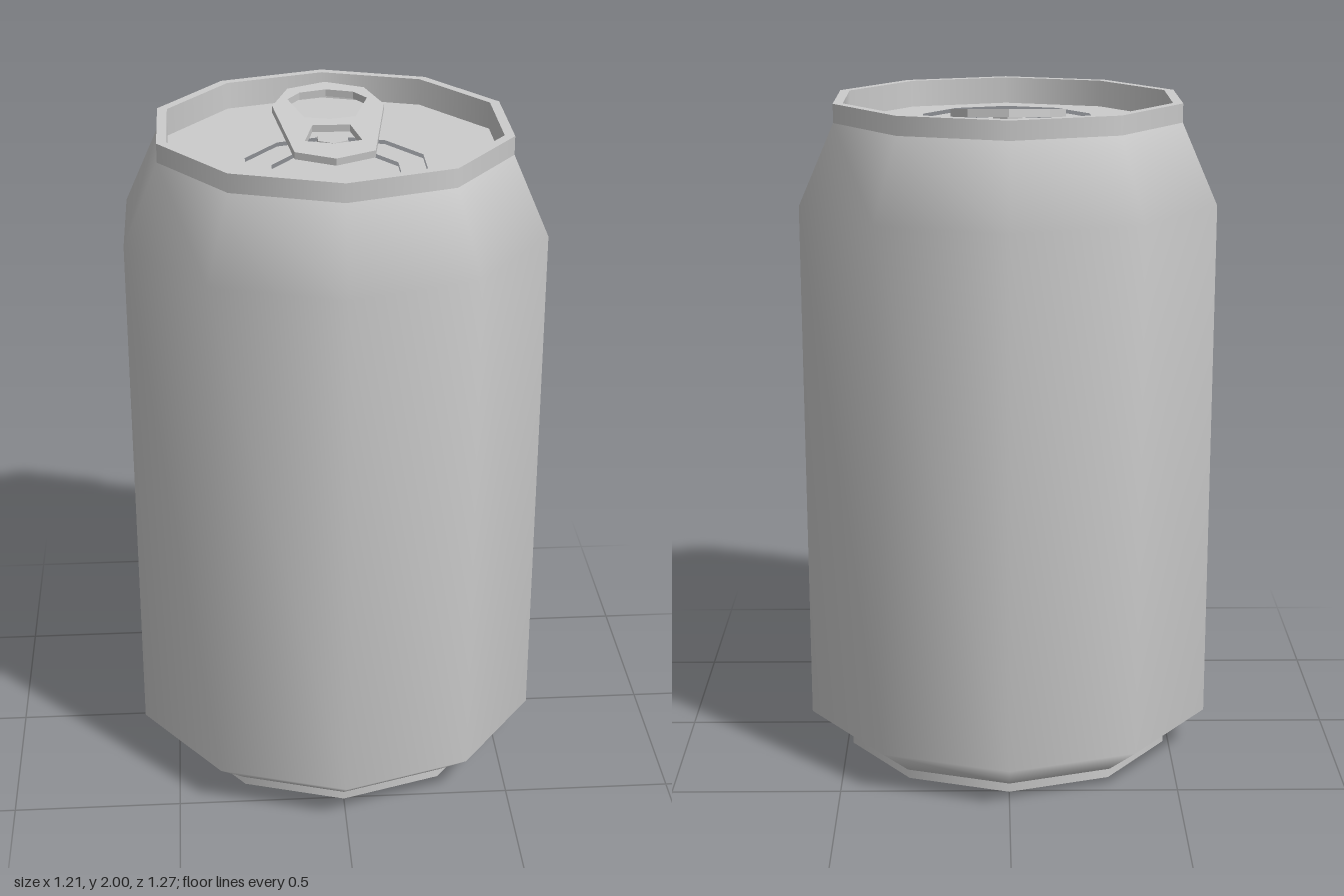
import * as THREE from 'three';

const SIDES = 10;
const material = new THREE.MeshStandardMaterial({ color: 0xcccccc });

function addMesh(parent, name, geometry) {
  const mesh = new THREE.Mesh(geometry, material);
  mesh.name = name;
  parent.add(mesh);
  return mesh;
}

const vec = ([x, y]) => new THREE.Vector2(x, y);

// Ten-sided ring of surface; each call keeps its own edges sharp
const turned = (points) => new THREE.LatheGeometry(points.map(vec), SIDES);

// Regular polygon in plan (x, z) with a corner towards the front
function polygon(radius, centreZ) {
  return Array.from({ length: SIDES }, (_, i) => {
    const a = (i / SIDES) * Math.PI * 2;
    return [Math.sin(a) * radius, centreZ + Math.cos(a) * radius];
  });
}

// Completes a half outline (x >= 0) by mirroring it across x = 0
function mirrored(half) {
  const other = half.filter(([x]) => x > 0).map(([x, z]) => [-x, z]).reverse();
  return [...half, ...other];
}

// Flat plate drawn in plan, its top at y = 0
function plate(outline, holes, thickness) {
  const shape = new THREE.Shape(outline.map(vec));
  for (const hole of holes) shape.holes.push(new THREE.Path(hole.map(vec)));
  const geometry = new THREE.ExtrudeGeometry(shape, { depth: thickness, bevelEnabled: false });
  return geometry.rotateX(Math.PI / 2);
}

export function createModel() {
  const can = new THREE.Group();
  can.name = 'drinkCan';

  // Body with tapered base and shoulder
  addMesh(can, 'body', turned([[0.515, 0.03], [0.635, 0.125], [0.635, 1.7], [0.528, 1.935]]));

  // Top rim
  const lidY = 1.91;
  const rim = new THREE.Group();
  rim.name = 'topRim';
  can.add(rim);
  addMesh(rim, 'rimOuterWall', turned([[0.528, 1.935], [0.528, 1.99]]));
  addMesh(rim, 'rimTop', turned([[0.528, 1.99], [0.498, 1.99]]));
  addMesh(rim, 'rimInnerWall', turned([[0.498, 1.99], [0.498, lidY]]));

  // Foot and recessed underside
  const foot = new THREE.Group();
  foot.name = 'foot';
  can.add(foot);
  addMesh(foot, 'footStep', turned([[0.508, 0.03], [0.515, 0.03]]));
  addMesh(foot, 'footWall', turned([[0.508, 0], [0.508, 0.03]]));
  addMesh(foot, 'footRing', turned([[0.485, 0], [0.508, 0]]));
  addMesh(foot, 'undersideSlope', turned([[0.415, 0.035], [0.485, 0]]));
  addMesh(foot, 'undersideFloor', turned([[0, 0.035], [0.415, 0.035]]));

  // Lid with a stepped recess around the mouth
  const step = 0.012;
  const recess = polygon(0.268, 0.15);
  const mouth = polygon(0.19, 0.157);
  addMesh(can, 'lid', plate(polygon(0.498, 0), [recess], step)).position.y = lidY;
  addMesh(can, 'mouthSurround', plate(recess, [mouth], step)).position.y = lidY - step;
  addMesh(can, 'mouthPanel', plate(mouth, [], step)).position.y = lidY - 2 * step;

  // Pull tab, tilted up towards the back
  const tabOutline = mirrored([[0, -0.365], [0.115, -0.32], [0.165, -0.2], [0.115, 0.11], [0, 0.157]]);
  const fingerHole = mirrored([[0, -0.31], [0.08, -0.29], [0.118, -0.245], [0.075, -0.118], [0, -0.103]]);
  const rivetHole = mirrored([[0.055, -0.063], [0.082, 0.04], [0, 0.06]]);
  const tab = addMesh(can, 'pullTab', plate(tabOutline, [fingerHole, rivetHole], 0.022));
  tab.position.y = 1.953;
  tab.rotation.x = 0.13;

  // Rivet
  const rivet = addMesh(can, 'rivet', new THREE.CylinderGeometry(0.05, 0.05, 0.045, 6).toNonIndexed());
  rivet.geometry.computeVertexNormals();
  rivet.position.y = 1.92;

  return can;
}
